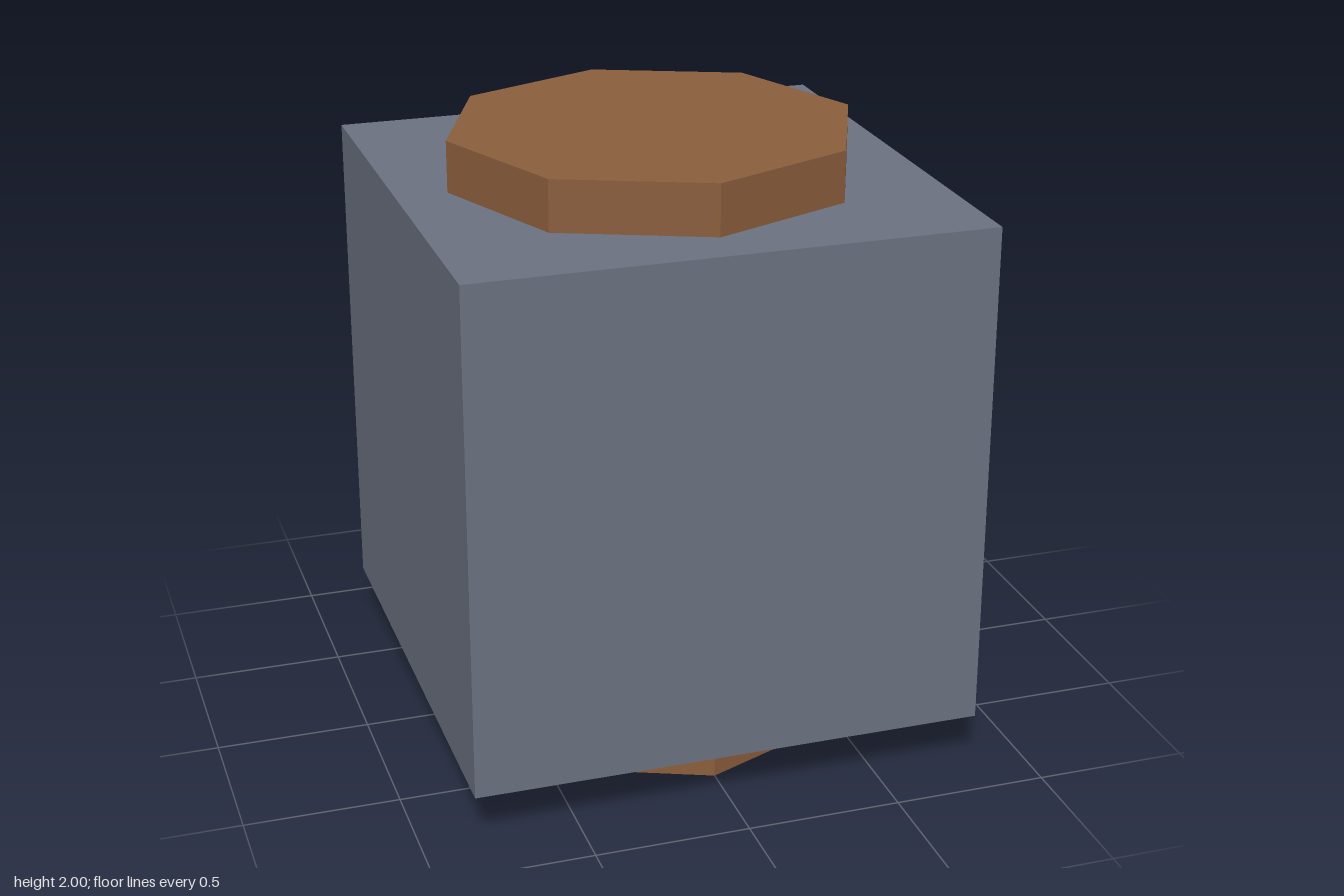
import * as THREE from 'three';

const CUBE = 5 / 3;      // edge of the block
const RADIUS = 2 / 3;    // corner radius of the octagonal core
const HEIGHT = 2;

function addPart(group, name, geometry, color) {
  const material = new THREE.MeshStandardMaterial({ color, flatShading: true });
  const mesh = new THREE.Mesh(geometry, material);
  mesh.name = name;
  mesh.position.y = HEIGHT / 2;
  group.add(mesh);
}

export function createModel() {
  const group = new THREE.Group();
  group.name = 'blockWithCore';

  // Cubic block
  addPart(group, 'block', new THREE.BoxGeometry(CUBE, CUBE, CUBE), 0x6b7280);

  // Octagonal core running through the block, showing at top and bottom
  addPart(group, 'core', new THREE.CylinderGeometry(RADIUS, RADIUS, HEIGHT, 8), 0x8b5e3c);

  return group;
}
